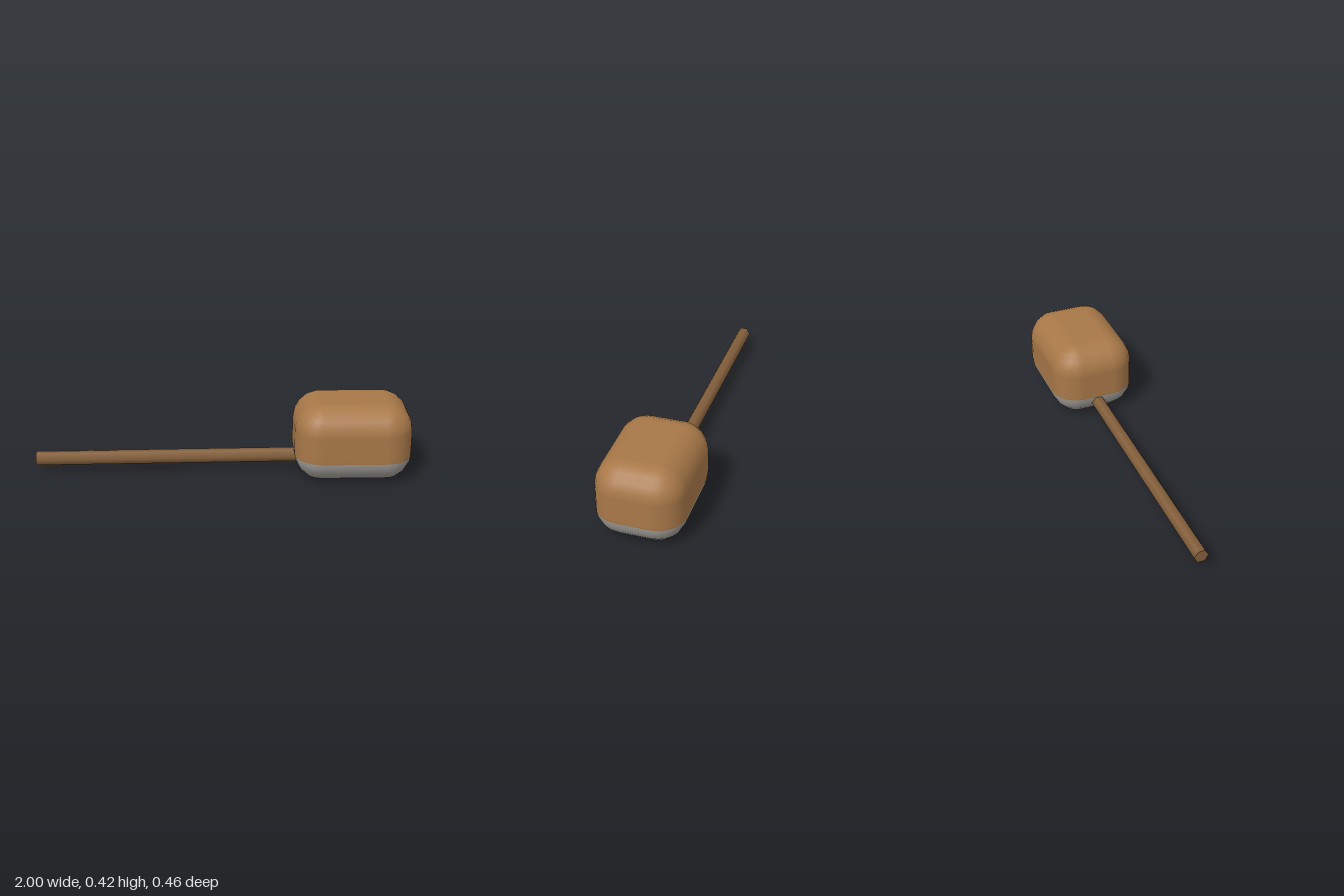
import * as THREE from 'three';

const RADIUS = 0.145;                 // edge rounding of the head
const CORE = { x: 0.165, y: 0.065, z: 0.085 }; // half size of the box inside the rounding
const STEPS = 5;                      // segments per quarter arc
const CENTRE = new THREE.Vector3(0.69, 0.21, 0);

// Lofts rounded-rectangle rings; each ring is [core height, latitude angle].
function loftHead(rings) {
  const pos = [], nor = [], idx = [];
  const count = 4 * (STEPS + 1);
  for (const [h, phi] of rings) {
    for (let q = 0; q < 4; q++) {
      const sx = q === 0 || q === 3 ? 1 : -1;
      const sz = q < 2 ? 1 : -1;
      for (let i = 0; i <= STEPS; i++) {
        const a = (q + i / STEPS) * Math.PI / 2;
        const n = [Math.cos(phi) * Math.cos(a), Math.sin(phi), Math.cos(phi) * Math.sin(a)];
        pos.push(sx * CORE.x + RADIUS * n[0], h + RADIUS * n[1], sz * CORE.z + RADIUS * n[2]);
        nor.push(...n);
      }
    }
  }
  for (let r = 0; r < rings.length - 1; r++) {
    for (let i = 0; i < count; i++) {
      const a = r * count + i, b = r * count + (i + 1) % count;
      idx.push(a, a + count, b, b, a + count, b + count);
    }
  }
  // flat cap over a ring that has shrunk to the core rectangle
  rings.forEach(([, phi], r) => {
    if (Math.abs(phi) < Math.PI / 2 - 0.001) return;
    for (let i = 1; i < count - 1; i++) {
      const a = r * count, b = a + i, c = b + 1;
      if (phi > 0) idx.push(a, c, b); else idx.push(a, b, c);
    }
  });
  const geo = new THREE.BufferGeometry();
  geo.setAttribute('position', new THREE.Float32BufferAttribute(pos, 3));
  geo.setAttribute('normal', new THREE.Float32BufferAttribute(nor, 3));
  geo.setIndex(idx);
  return geo;
}

function addMesh(parent, name, geometry, color) {
  const mesh = new THREE.Mesh(geometry, new THREE.MeshStandardMaterial({ color }));
  mesh.name = name;
  parent.add(mesh);
  return mesh;
}

export function createModel() {
  const model = new THREE.Group();
  model.name = 'mallet';

  // Head: wooden block with a pale underside, divided just below the straight wall
  const head = new THREE.Group();
  head.name = 'head';
  head.position.copy(CENTRE);
  model.add(head);

  const split = -0.1;
  const upper = [[-CORE.y, split], [-CORE.y, 0]];
  const lower = [];
  for (let i = 0; i <= STEPS; i++) {
    const phi = i / STEPS * Math.PI / 2;
    upper.push([CORE.y, phi]);
    if (i < STEPS) lower.push([-CORE.y, phi - Math.PI / 2]);
  }
  lower.push([-CORE.y, split]);
  addMesh(head, 'headBlock', loftHead(upper), 0xa87848);
  addMesh(head, 'headUnderside', loftHead(lower), 0x9c9994);

  // Handle: slim hexagonal rod, tilted slightly, running into the head
  const start = new THREE.Vector3(-1, 0.0825, -0.005);
  const end = new THREE.Vector3(0.5, 0.0935, -0.005);
  const direction = end.clone().sub(start);
  const handle = addMesh(model, 'handle',
    new THREE.CylinderGeometry(0.038, 0.038, direction.length(), 6), 0x85603c);
  handle.position.copy(start).add(end).multiplyScalar(0.5);
  handle.quaternion.setFromUnitVectors(new THREE.Vector3(0, 1, 0), direction.normalize());

  return model;
}
